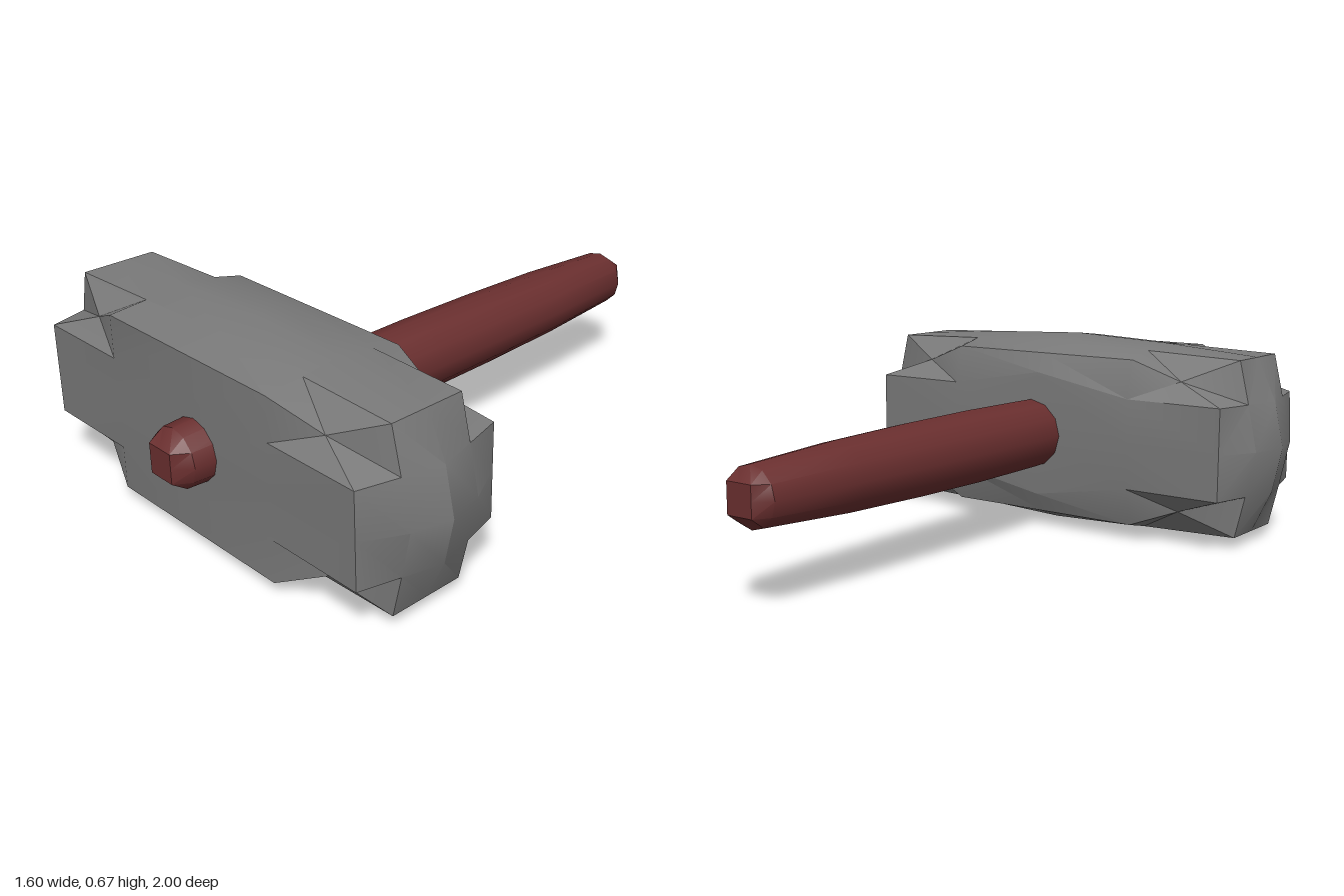
import * as THREE from 'three';
import { toCreasedNormals } from 'three/addons/utils/BufferGeometryUtils.js';

const CENTER = new THREE.Vector3(0, 0.335, 0.623);

// Point of the head's surface lattice; u, v, w run from -2 to 2 along x, y, z
function headPoint(u, v, w) {
  const a = Math.abs(u), b = Math.abs(v), c = Math.abs(w);
  let x = [0, 0.36, 0.7][a], y = [0, 0.152, 0.293][b], z = [0, 0.127, 0.257][c];
  if (a === 2 && b < 2 && c < 2) x = 0.8 - 0.033 * (b + c);   // domed striking faces
  if (b === 2 && a < 2 && c < 2) y = 0.333 - 0.015 * (a + c); // bulging top and bottom
  if (w === -2 && b === 2) { y = 0.28; z = 0.226; }           // softened back edges
  if (w === -2 && b === 1 && a === 0) y = 0.215;
  return new THREE.Vector3(x * Math.sign(u), y * Math.sign(v), z * Math.sign(w));
}

function headGeometry() {
  const positions = [];
  // Adds a triangle turned away from the head's middle
  const tri = (a, b, c) => {
    const n = b.clone().sub(a).cross(c.clone().sub(a));
    const out = a.clone().add(b).add(c);
    const order = n.dot(out) < 0 ? [a, c, b] : [a, b, c];
    for (const p of order) positions.push(p.x, p.y, p.z);
  };

  // Six sides, leaving out the cells at the eight corners
  for (let axis = 0; axis < 3; axis++) {
    for (const side of [-2, 2]) {
      const at = (i, j) => {
        const k = [i, j];
        k.splice(axis, 0, side);
        return headPoint(...k);
      };
      for (let i = -2; i < 2; i++) {
        for (let j = -2; j < 2; j++) {
          if ((i === -2 || i === 1) && (j === -2 || j === 1)) continue;
          const [a, b, c, d] = [at(i, j), at(i + 1, j), at(i + 1, j + 1), at(i, j + 1)];
          tri(a, b, c);
          tri(a, c, d);
        }
      }
    }
  }

  // Star-shaped notch at each corner
  const rim = [[2, 1, 2], [2, 1, 1], [2, 2, 1], [1, 2, 1], [1, 2, 2], [1, 1, 2]];
  for (const sx of [-1, 1]) for (const sy of [-1, 1]) for (const sz of [-1, 1]) {
    const ring = rim.map(([u, v, w]) => headPoint(u * sx, v * sy, w * sz));
    const middle = new THREE.Vector3(0.525 * sx, 0.217 * sy, 0.195 * sz);
    ring.forEach((p, i) => tri(p, ring[(i + 1) % 6], middle));
  }

  const geometry = new THREE.BufferGeometry();
  geometry.setAttribute('position', new THREE.Float32BufferAttribute(positions, 3));
  return toCreasedNormals(geometry, 0.42);
}

// Long tapering handle with square tips
function handleGeometry() {
  const profile = [
    [0, -1], [0.1, -1], [0.093, -0.955], [0.112, -0.62], [0.12, -0.3], [0.123, 0],
    [0.12, 0.3], [0.112, 0.62], [0.095, 0.95], [0.1, 1], [0, 1],
  ].map(([r, y]) => new THREE.Vector2(r, y));
  const geometry = new THREE.LatheGeometry(profile, 12);
  const p = geometry.attributes.position;
  for (let i = 0; i < p.count; i++) {
    if (Math.abs(p.getY(i)) < 0.999) continue;
    p.setX(i, THREE.MathUtils.clamp(p.getX(i), -0.048, 0.048));
    p.setZ(i, THREE.MathUtils.clamp(p.getZ(i), -0.048, 0.048));
  }
  geometry.rotateX(Math.PI / 2);
  return toCreasedNormals(geometry, 0.6);
}

export function createModel() {
  const stone = new THREE.MeshStandardMaterial({ color: 0x7a7a7a });
  stone.name = 'grey stone';
  const wood = new THREE.MeshStandardMaterial({ color: 0x6a2f2f });
  wood.name = 'dark red wood';

  const head = new THREE.Mesh(headGeometry(), stone);
  head.name = 'hammerHead';
  head.position.copy(CENTER);

  const handle = new THREE.Mesh(handleGeometry(), wood);
  handle.name = 'handle';
  handle.position.set(0.028, 0.335, 0);

  const model = new THREE.Group();
  model.name = 'hammer';
  model.add(head, handle);
  return model;
}
